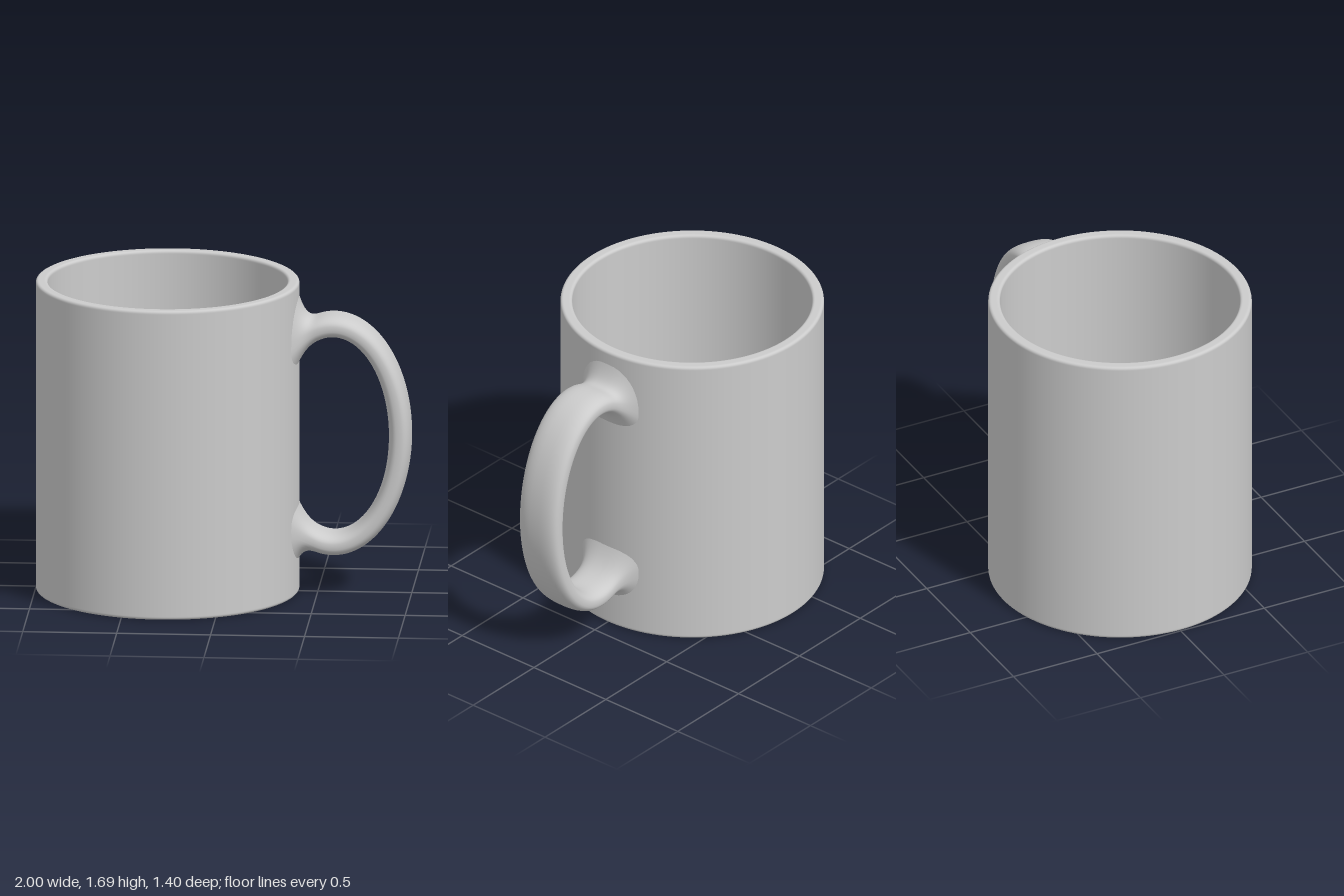
import * as THREE from 'three';

const CX = -0.3, R = 0.7, H = 1.69;   // cup centre, radius, height

// Rounded profile corner: quarter arc plus a short straight run on either side to keep the walls flat-shaded
function corner(pts, cx, cy, r, from, turn) {
  const n = 5, run = r * 0.3;
  const at = (a) => new THREE.Vector2(cx + r * Math.cos(a), cy + r * Math.sin(a));
  const tangent = (a) => new THREE.Vector2(-Math.sin(a), Math.cos(a)).multiplyScalar(turn * run);
  const end = from + turn * Math.PI / 2;
  pts.push(at(from).sub(tangent(from)));
  for (let i = 0; i <= n; i++) pts.push(at(from + (turn * Math.PI / 2) * i / n));
  pts.push(at(end).add(tangent(end)));
}

// Cup: one closed profile from the recessed base, up the outside, over the rim and down to the floor
function cupGeometry() {
  const q = Math.PI / 2, inner = 0.637, floor = 0.08, foot = 0.6, recess = 0.02;
  const pts = [new THREE.Vector2(0, recess)];
  corner(pts, foot - 0.004, recess - 0.004, 0.004, q, -1);
  corner(pts, foot + 0.006, 0.006, 0.006, 2 * q, 1);
  corner(pts, R - 0.015, 0.015, 0.015, -q, 1);
  corner(pts, R - 0.015, H - 0.015, 0.015, 0, 1);
  corner(pts, inner + 0.015, H - 0.015, 0.015, q, 1);
  corner(pts, inner - 0.015, floor + 0.015, 0.015, 0, -1);
  pts.push(new THREE.Vector2(0, floor));
  return new THREE.LatheGeometry(pts, 128);
}

// Handle: rounded flat section swept round an ellipse, flaring out where it meets the wall
function handleGeometry() {
  const hx = 0.585, hy = 0.867, a = 0.355, b = 0.596;
  const halfThick = 0.06, halfWidth = 0.131, reach = 0.12;
  const steps = 120, sides = 40;
  const soft = (v) => Math.sign(v) * Math.pow(Math.abs(v), 0.75);
  const wallX = (z) => CX + Math.sqrt(R * R - z * z) - 0.003;
  const pos = [], index = [];
  for (let i = 0; i <= steps; i++) {
    const s = Math.sin((i / steps - 0.5) * Math.PI);
    for (let j = 0; j < sides; j++) {
      const phi = (j / sides) * Math.PI * 2;
      const c = Math.cos(phi), n = Math.sin(phi);
      const o = halfThick * soft(c), z = halfWidth * soft(n);
      const t = s * Math.acos((wallX(z) - hx) / (a + o));
      const d = hx + (a + o) * Math.cos(t) - wallX(z);
      // fillet grows towards the wall
      const f = Math.pow(Math.max(0, 1 - d / reach), 3);
      const flareY = c > 0 ? (s > 0 ? 0.17 : 0.1) : 0.03;
      const z2 = z + f * 0.07 * n;
      const y = hy + (b + o) * Math.sin(t) + Math.sign(s) * f * flareY * c;
      pos.push(wallX(z2) + d, y, z2);
      if (i < steps) {
        const k = (j + 1) % sides, p = i * sides, u = p + sides;
        index.push(p + j, u + j, p + k, u + j, u + k, p + k);
      }
    }
  }
  const g = new THREE.BufferGeometry();
  g.setAttribute('position', new THREE.Float32BufferAttribute(pos, 3));
  g.setIndex(index);
  g.computeVertexNormals();
  return g;
}

export function createModel() {
  const group = new THREE.Group();
  group.name = 'mug';
  const material = new THREE.MeshStandardMaterial({ color: 0xcccccc });

  const cup = new THREE.Mesh(cupGeometry(), material);
  cup.name = 'cup';
  cup.position.x = CX;

  const handle = new THREE.Mesh(handleGeometry(), material);
  handle.name = 'handle';

  group.add(cup, handle);
  return group;
}
